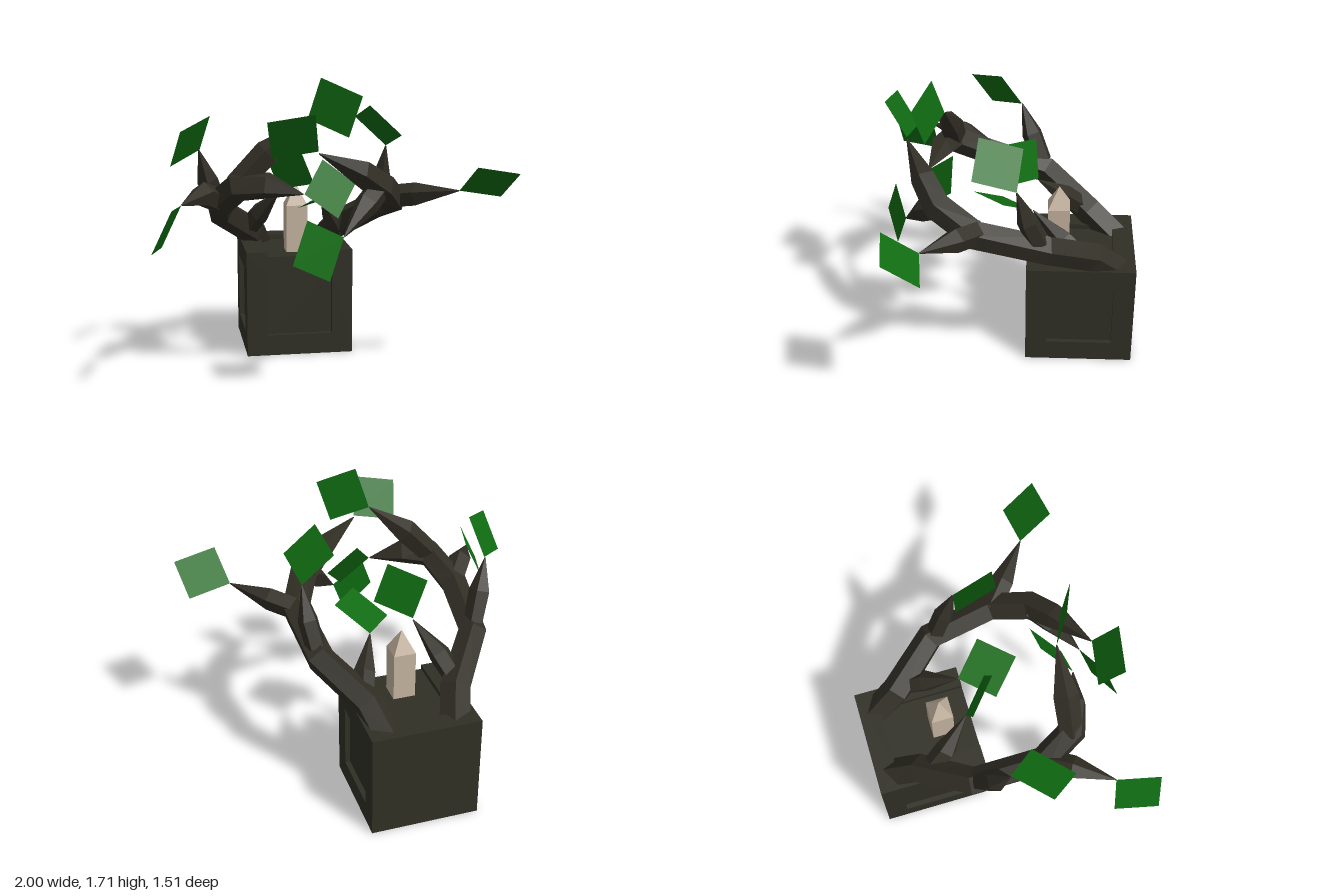
import * as THREE from 'three';

const stone = new THREE.MeshStandardMaterial({ color: 0x302f25 });
stone.name = 'dark stone';
const bark = new THREE.MeshStandardMaterial({ color: 0x312e25 });
bark.name = 'dark bark';
const leafGreen = new THREE.MeshStandardMaterial({ color: 0x106c12, side: THREE.DoubleSide });
leafGreen.name = 'leaf green';
const bone = new THREE.MeshStandardMaterial({ color: 0xc4b39f });
bone.name = 'pale bone';

const CX = -0.117, CZ = -0.44, HALF = 0.32, HOLE = 0.195, DEPTH = 0.03;

function add(parent, name, geometry, material, x = 0, y = 0, z = 0) {
  const mesh = new THREE.Mesh(geometry, material);
  mesh.name = name;
  mesh.position.set(x, y, z);
  parent.add(mesh);
  return mesh;
}

// Flat plate cut from an outline, with an optional square hole
function plate(outline, hole) {
  const shape = new THREE.Shape(outline.map(([x, y]) => new THREE.Vector2(x, y)));
  if (hole) {
    const h = HOLE;
    shape.holes.push(new THREE.Path([[-h, -h], [-h, h], [h, h], [h, -h]].map(([x, y]) => new THREE.Vector2(x, y))));
  }
  return new THREE.ExtrudeGeometry(shape, { depth: DEPTH, bevelEnabled: false });
}

// Faceted limb through stations of [x, y, z, radius]
function limb(stations, sides = 5) {
  const pts = stations.map(s => new THREE.Vector3(s[0], s[1], s[2]));
  const pos = [], index = [];
  let side = null;
  pts.forEach((p, i) => {
    const t = new THREE.Vector3();
    if (i > 0) t.add(p.clone().sub(pts[i - 1]).normalize());
    if (i < pts.length - 1) t.add(pts[i + 1].clone().sub(p).normalize());
    t.normalize();
    if (!side) {
      const ref = Math.abs(t.y) > 0.9 ? new THREE.Vector3(0, 0, 1) : new THREE.Vector3(0, 1, 0);
      side = ref.cross(t);
    }
    side.addScaledVector(t, -side.dot(t)).normalize();
    const v = t.clone().cross(side);
    for (let k = 0; k < sides; k++) {
      const a = (k / sides) * Math.PI * 2 + Math.PI / 2;
      const q = p.clone().addScaledVector(side, Math.cos(a) * stations[i][3]).addScaledVector(v, Math.sin(a) * stations[i][3]);
      pos.push(q.x, q.y, q.z);
    }
  });
  for (let i = 0; i < pts.length - 1; i++) {
    for (let k = 0; k < sides; k++) {
      const a = i * sides + k, b = i * sides + (k + 1) % sides;
      index.push(a, b, a + sides, b, b + sides, a + sides);
    }
  }
  const g = new THREE.BufferGeometry();
  g.setAttribute('position', new THREE.Float32BufferAttribute(pos, 3));
  g.setIndex(index);
  const flat = g.toNonIndexed();
  flat.computeVertexNormals();
  return flat;
}

// Square leaf from its stem corner and the two neighbouring corners
function leaf(a, b, d) {
  const c = a.map((n, i) => b[i] + d[i] - n);
  const g = new THREE.BufferGeometry();
  g.setAttribute('position', new THREE.Float32BufferAttribute([...a, ...b, ...c, ...a, ...c, ...d], 3));
  g.computeVertexNormals();
  return g;
}

export function createModel() {
  const model = new THREE.Group();
  model.name = 'branchingPlanter';

  // Block: solid core with framed recesses on the front, both sides and top
  const block = new THREE.Group();
  block.name = 'block';
  model.add(block);
  const H = HALF, W = HOLE;
  add(block, 'core', new THREE.BoxGeometry(2 * (H - DEPTH), 2 * H - DEPTH, 2 * H - DEPTH), stone,
    CX, H - DEPTH / 2, CZ - DEPTH / 2);
  const square = [[-H, -H], [H, -H], [H, H], [-H, H]];
  const notched = [[-H, -H], [H, -H], [H, H], [W, H], [W, H - DEPTH], [-W, H - DEPTH], [-W, H], [-H, H]];
  add(block, 'frontFrame', plate(notched, true), stone, CX, H, CZ + H - DEPTH);
  for (const s of [-1, 1]) {
    add(block, s > 0 ? 'leftFrame' : 'rightFrame', plate(square, true), stone, CX + s * (H - DEPTH), H, CZ)
      .rotation.y = s * Math.PI / 2;
  }
  const uShape = [[-H, -H], [-W, -H], [-W, W], [W, W], [W, -H], [H, -H], [H, H], [-H, H]];
  add(block, 'topRim', plate(uShape, false), stone, CX, 2 * H - DEPTH, CZ).rotation.x = -Math.PI / 2;

  // Pointed post standing in the top recess
  const post = new THREE.Group();
  post.name = 'post';
  post.position.set(CX, 0, -0.305);
  model.add(post);
  add(post, 'postShaft', new THREE.BoxGeometry(0.13, 0.295, 0.13), bone, 0, 0.7475, 0);
  const tip = new THREE.ConeGeometry(0.092, 0.13, 4, 1, true).toNonIndexed();
  tip.rotateY(Math.PI / 4);
  tip.computeVertexNormals();
  add(post, 'postTip', tip, bone, 0, 0.96, 0);

  // Two main branches curling forward, with pointed twigs
  const branches = new THREE.Group();
  branches.name = 'branches';
  model.add(branches);
  const limbs = {
    leftBranch: [[0.08, 0.56, -0.67, 0.09], [0.14, 0.71, -0.5, 0.09], [0.34, 0.88, -0.23, 0.085],
      [0.375, 0.99, 0.16, 0.085], [0.27, 1.1, 0.37, 0.085], [0.13, 1.2, 0.46, 0.075], [-0.115, 1.32, 0.58, 0.003]],
    rightBranch: [[-0.31, 0.56, -0.67, 0.09], [-0.374, 0.71, -0.5, 0.09], [-0.58, 0.88, -0.23, 0.085],
      [-0.61, 1.0, 0.16, 0.085], [-0.52, 1.12, 0.35, 0.085], [-0.37, 1.13, 0.41, 0.075], [-0.18, 1.085, 0.47, 0.003]],
    leftInnerTwig: [[0.16, 0.7, -0.46, 0.06], [0.11, 0.8, -0.33, 0.065], [0.02, 0.94, -0.155, 0.003]],
    rightInnerTwig: [[-0.4, 0.72, -0.46, 0.06], [-0.34, 0.84, -0.33, 0.065], [-0.23, 1.0, -0.18, 0.003]],
    leftUpperTwig: [[0.35, 0.93, -0.19, 0.06], [0.375, 1.08, -0.13, 0.06], [0.39, 1.273, -0.07, 0.003]],
    rightUpperTwig: [[-0.6, 0.93, -0.2, 0.06], [-0.66, 1.09, -0.13, 0.065], [-0.71, 1.27, -0.066, 0.003]],
    leftOuterTwig: [[0.36, 1.0, 0.14, 0.07], [0.5, 1.03, 0.26, 0.07], [0.7, 1.075, 0.43, 0.003]],
    rightOuterTwig: [[-0.6, 1.0, 0.15, 0.07], [-0.71, 1.07, 0.3, 0.07], [-0.837, 1.05, 0.508, 0.003]],
    leftLowerTwig: [[0.27, 1.1, 0.35, 0.07], [0.17, 1.02, 0.46, 0.07], [0.02, 0.867, 0.59, 0.003]],
    rightFrontTwig: [[-0.53, 1.12, 0.34, 0.07], [-0.36, 1.3, 0.35, 0.075], [-0.14, 1.48, 0.36, 0.003]],
  };
  for (const [name, stations] of Object.entries(limbs)) add(branches, name, limb(stations), bark);

  // One leaf on the tip of each limb
  const leaves = new THREE.Group();
  leaves.name = 'leaves';
  model.add(leaves);
  [
    [[0.7, 1.075, 0.43], [0.745, 1.23, 0.62], [0.95, 1.03, 0.4]],
    [[-0.837, 1.05, 0.508], [-0.895, 1.064, 0.75], [-0.944, 0.822, 0.487]],
    [[-0.705, 1.27, -0.064], [-0.88, 1.203, 0.128], [-0.65, 1.476, 0.06]],
    [[0.39, 1.273, -0.07], [0.43, 1.358, 0.17], [0.21, 1.444, -0.1]],
    [[-0.23, 1.01, -0.18], [-0.32, 1.23, -0.16], [-0.047, 1.063, -0.016]],
    [[0.02, 0.94, -0.155], [0.18, 1.065, 0.01], [-0.147, 0.93, 0.027]],
    [[-0.14, 1.48, 0.36], [-0.077, 1.706, 0.42], [0.07, 1.385, 0.455]],
    [[-0.175, 1.085, 0.47], [-0.05, 1.25, 0.31], [0.01, 0.946, 0.47]],
    [[-0.115, 1.33, 0.58], [-0.15, 1.535, 0.7], [-0.36, 1.29, 0.54]],
    [[0.02, 0.867, 0.59], [-0.19, 0.98, 0.67], [-0.067, 0.642, 0.66]],
  ].forEach(([a, b, d], i) => add(leaves, `leaf${i + 1}`, leaf(a, b, d), leafGreen));

  return model;
}
